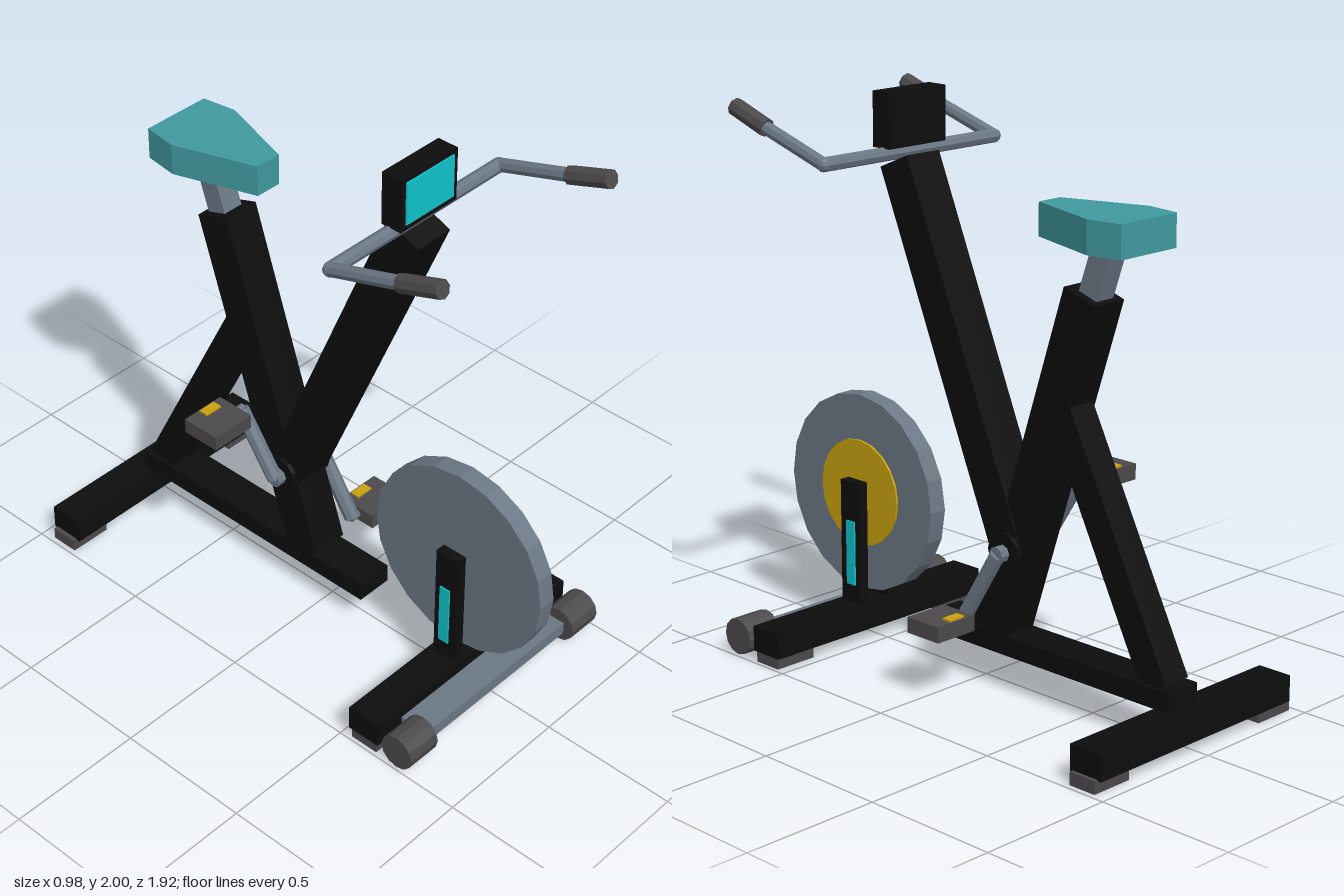
import * as THREE from 'three';

const paint = (name, color) => {
  const m = new THREE.MeshStandardMaterial({ color });
  m.name = name;
  return m;
};

export function createModel() {
  const black = paint('frame black', 0x0d0d0d);
  const steel = paint('steel grey', 0x6b7785);
  const rubber = paint('dark rubber', 0x4c494b);
  const yellow = paint('yellow', 0xc9a20f);
  const teal = paint('seat teal', 0x40999f);
  const cyan = paint('bright cyan', 0x0fc2cb);

  const model = new THREE.Group();
  model.name = 'exerciseBike';

  // Faceted mesh
  const add = (name, geometry, material) => {
    const g = geometry.index ? geometry.toNonIndexed() : geometry;
    g.computeVertexNormals();
    const mesh = new THREE.Mesh(g, material);
    mesh.name = name;
    model.add(mesh);
    return mesh;
  };

  // Box from its minimum and maximum corners
  const box = (name, material, x0, x1, y0, y1, z0, z1) => {
    const g = new THREE.BoxGeometry(x1 - x0, y1 - y0, z1 - z0);
    return add(name, g.translate((x0 + x1) / 2, (y0 + y1) / 2, (z0 + z1) / 2), material);
  };

  // Round bar between two points
  const rod = (name, material, a, b, radius, sides = 8) => {
    const p = new THREE.Vector3(...a), q = new THREE.Vector3(...b);
    const dir = q.clone().sub(p);
    const mesh = add(name, new THREE.CylinderGeometry(radius, radius, dir.length(), sides), material);
    mesh.position.copy(p).add(q).multiplyScalar(0.5);
    mesh.quaternion.setFromUnitVectors(new THREE.Vector3(0, 1, 0), dir.normalize());
    return mesh;
  };

  // Square tube leaning in the centre plane, from [y, z] to [y, z]
  const strut = (name, material, a, b, width, depth) => {
    const dy = b[0] - a[0], dz = b[1] - a[1];
    const mesh = add(name, new THREE.BoxGeometry(width, Math.hypot(dy, dz), depth), material);
    mesh.position.set(0, (a[0] + b[0]) / 2, (a[1] + b[1]) / 2);
    mesh.rotation.x = Math.atan2(dz, dy);
    return mesh;
  };

  // Wheel or disc around the x axis
  const disc = (name, material, radius, x0, x1, y, z, sides) => {
    const g = new THREE.CylinderGeometry(radius, radius, x1 - x0, sides);
    return add(name, g.rotateZ(Math.PI / 2).translate((x0 + x1) / 2, y, z), material);
  };

  // Base and frame
  box('frontBaseBeam', black, -0.49, 0.49, 0.04, 0.132, 0.53, 0.66);
  box('rearBaseBeam', black, -0.465, 0.465, 0.04, 0.132, -0.96, -0.83);
  box('floorRail', black, -0.07, 0.07, 0.13, 0.2, -0.89, 0.2);
  box('rollerBar', steel, -0.37, 0.37, 0.042, 0.088, 0.655, 0.77);
  strut('frontPost', black, [0.52, -0.16], [1.76, 0.365], 0.15, 0.14);
  strut('seatTube', black, [0.195, -0.08], [1.434, -0.484], 0.14, 0.14);
  strut('rearBrace', black, [0.19, -0.815], [1.05, -0.375], 0.11, 0.11);
  strut('seatPost', steel, [1.38, -0.475], [1.605, -0.552], 0.08, 0.08);

  // Flywheel with a coloured disc on one side
  disc('flywheel', steel, 0.36, -0.034, 0.034, 0.533, 0.597, 20);
  disc('flywheelDisc', yellow, 0.195, 0.034, 0.042, 0.533, 0.597, 20);
  disc('flywheelAxle', black, 0.03, -0.06, 0.06, 0.533, 0.597, 8);

  // Crank housing and axle
  disc('crankHousing', black, 0.07, -0.09, 0.09, 0.505, -0.167, 12);
  disc('crankAxle', steel, 0.03, -0.125, 0.125, 0.503, -0.167, 8);

  for (const s of [-1, 1]) {
    const side = s > 0 ? 'left' : 'right';
    // Box given by its inner and outer distance from the middle
    const sideBox = (name, material, x0, x1, ...rest) =>
      box(side + name, material, Math.min(s * x0, s * x1), Math.max(s * x0, s * x1), ...rest);

    // Feet and transport rollers
    sideBox('FrontFoot', rubber, 0.32, 0.485, 0, 0.042, 0.54, 0.65);
    sideBox('RearFoot', rubber, 0.32, 0.48, 0, 0.045, -0.948, -0.842);
    disc(side + 'Roller', rubber, 0.066, s * 0.425 - 0.067, s * 0.425 + 0.067, 0.07, 0.745, 12);

    // Flywheel fork with its accent strip
    sideBox('Fork', black, 0.046, 0.084, 0.13, 0.582, 0.55, 0.646);
    sideBox('ForkStrip', cyan, 0.084, 0.09, 0.2, 0.437, 0.573, 0.615);

    // Crank arm and pedal, turned half round on the other side
    const py = 0.5 - s * 0.245, pz = -0.168 + s * 0.142;
    rod(side + 'Crank', steel, [s * 0.115, 0.503, -0.167], [s * 0.13, py, pz], 0.028);
    disc(side + 'PedalSpindle', steel, 0.016, s * 0.16 - 0.04, s * 0.16 + 0.04, py, pz, 8);
    sideBox('Pedal', rubber, 0.158, 0.328, py - 0.028, py + 0.028, pz - 0.074, pz + 0.074);
    sideBox('PedalReflector', yellow, 0.198, 0.265, py + 0.028, py + 0.035, pz - 0.066, pz - 0.03);

    // Handlebar arm and grip
    rod(side + 'HandlebarArm', steel, [s * 0.395, 1.79, 0.355], [s * 0.395, 1.88, 0.65], 0.024);
    rod(side + 'Grip', rubber, [s * 0.395, 1.877, 0.64], [s * 0.395, 1.932, 0.8], 0.032);
    const joint = add(side + 'HandlebarJoint', new THREE.SphereGeometry(0.025, 8, 6), steel);
    joint.position.set(s * 0.395, 1.79, 0.357);
  }
  rod('handlebar', steel, [-0.395, 1.79, 0.357], [0.395, 1.79, 0.357], 0.025);

  // Console
  box('console', black, -0.13, 0.13, 1.81, 2, 0.325, 0.405);
  box('screen', cyan, -0.11, 0.11, 1.832, 1.985, 0.405, 0.411);

  // Seat: tapered outline, front nose towards +z
  const half = [[0.05, 0.286], [0.148, 0.585], [0.13, 0.713]];
  const outline = [...half, ...half.map(([x, z]) => [-x, z]).reverse()];
  const shape = new THREE.Shape(outline.map(([x, z]) => new THREE.Vector2(x, z)));
  const seat = new THREE.ExtrudeGeometry(shape, { depth: 0.114, bevelEnabled: false });
  add('seat', seat.rotateX(-Math.PI / 2).translate(0, 1.596, 0), teal);

  return model;
}
